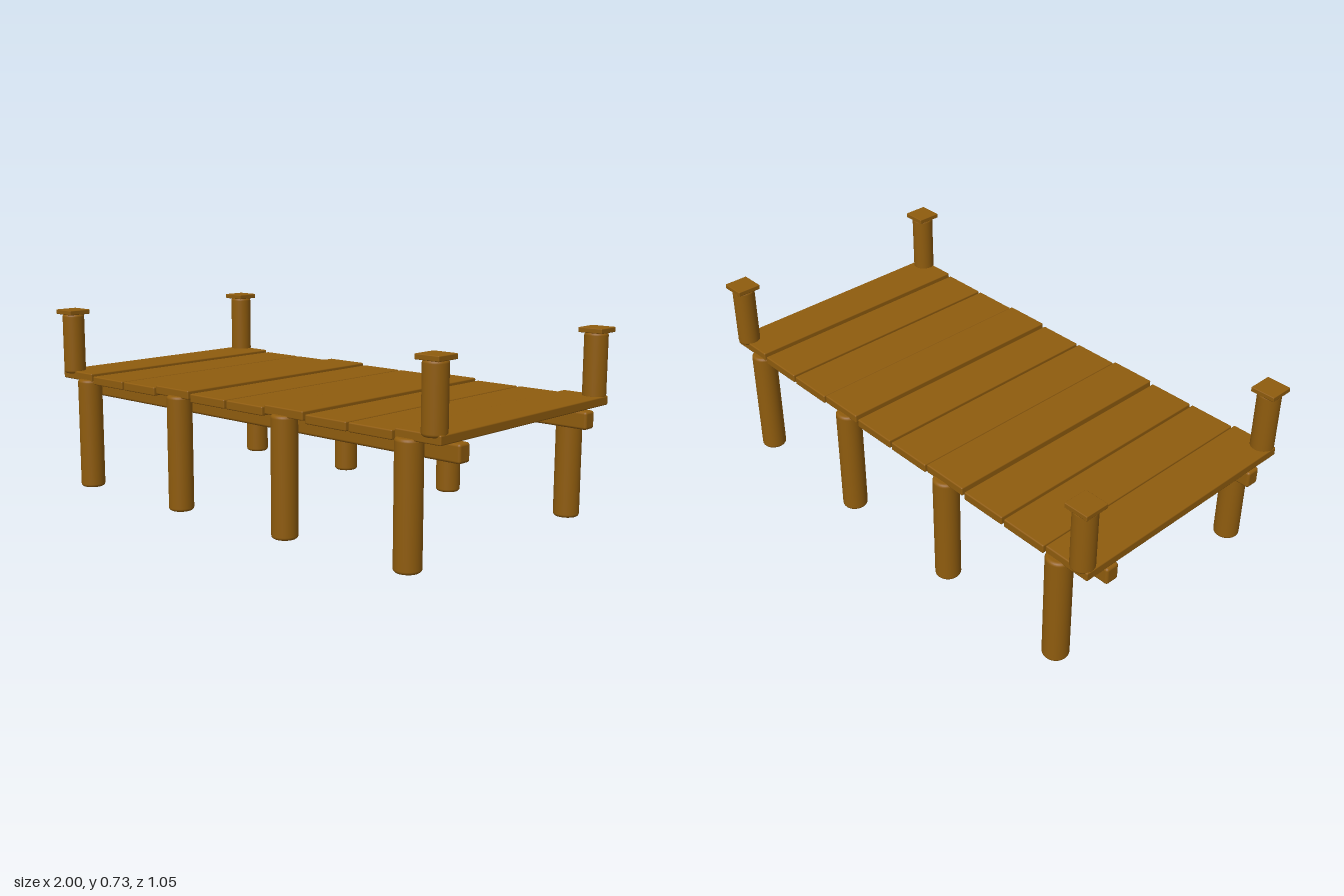
import * as THREE from 'three';
import { RoundedBoxGeometry } from 'three/addons/geometries/RoundedBoxGeometry.js';

export function createModel() {
  const dock = new THREE.Group();
  dock.name = 'dock';

  const wood = new THREE.MeshStandardMaterial({ color: 0x8f5c0e });
  wood.name = 'brown wood';

  function add(name, geometry, x, y, z) {
    const mesh = new THREE.Mesh(geometry, wood);
    mesh.name = name;
    mesh.position.set(x, y, z);
    dock.add(mesh);
  }

  // Round log standing on y = 0 with softened rims
  function log(radius, height, bevel = 0.012) {
    const points = [new THREE.Vector2(0, 0)];
    for (let i = 0; i <= 4; i++) {
      const a = (i / 4) * Math.PI / 2;
      points.push(new THREE.Vector2(radius - bevel + bevel * Math.sin(a), bevel - bevel * Math.cos(a)));
    }
    for (let i = 0; i <= 4; i++) {
      const a = (i / 4) * Math.PI / 2;
      points.push(new THREE.Vector2(radius - bevel + bevel * Math.cos(a), height - bevel + bevel * Math.sin(a)));
    }
    points.push(new THREE.Vector2(0, height));
    return new THREE.LatheGeometry(points, 32);
  }

  // Deck planks, every third one sitting slightly higher
  const plank = new RoundedBoxGeometry(0.189, 0.034, 1, 2, 0.005);
  for (let i = 0; i < 10; i++) {
    add('plank', plank, -0.9 + 0.2 * i, i % 3 === 0 ? 0.461 : 0.452, 0);
  }

  const beam = new RoundedBoxGeometry(1.995, 0.067, 0.057, 3, 0.01);
  const pile = log(0.049, 0.451);
  const post = log(0.044, 0.247);
  const cap = new RoundedBoxGeometry(0.098, 0.019, 0.098, 2, 0.003);

  for (const side of [-1, 1]) {
    // Long beam under the planks
    add('beam', beam, 0, 0.4025, side * 0.376);

    // Piles in the water
    for (let i = 0; i < 4; i++) {
      add('pile', pile, -0.848 + i * 0.5655, 0, side * 0.476);
    }

    // Corner posts with square caps
    for (const end of [-1, 1]) {
      add('cornerPost', post, end * 0.95, 0.467, side * 0.475);
      add('postCap', cap, end * 0.951, 0.7215, side * 0.475);
    }
  }

  return dock;
}
